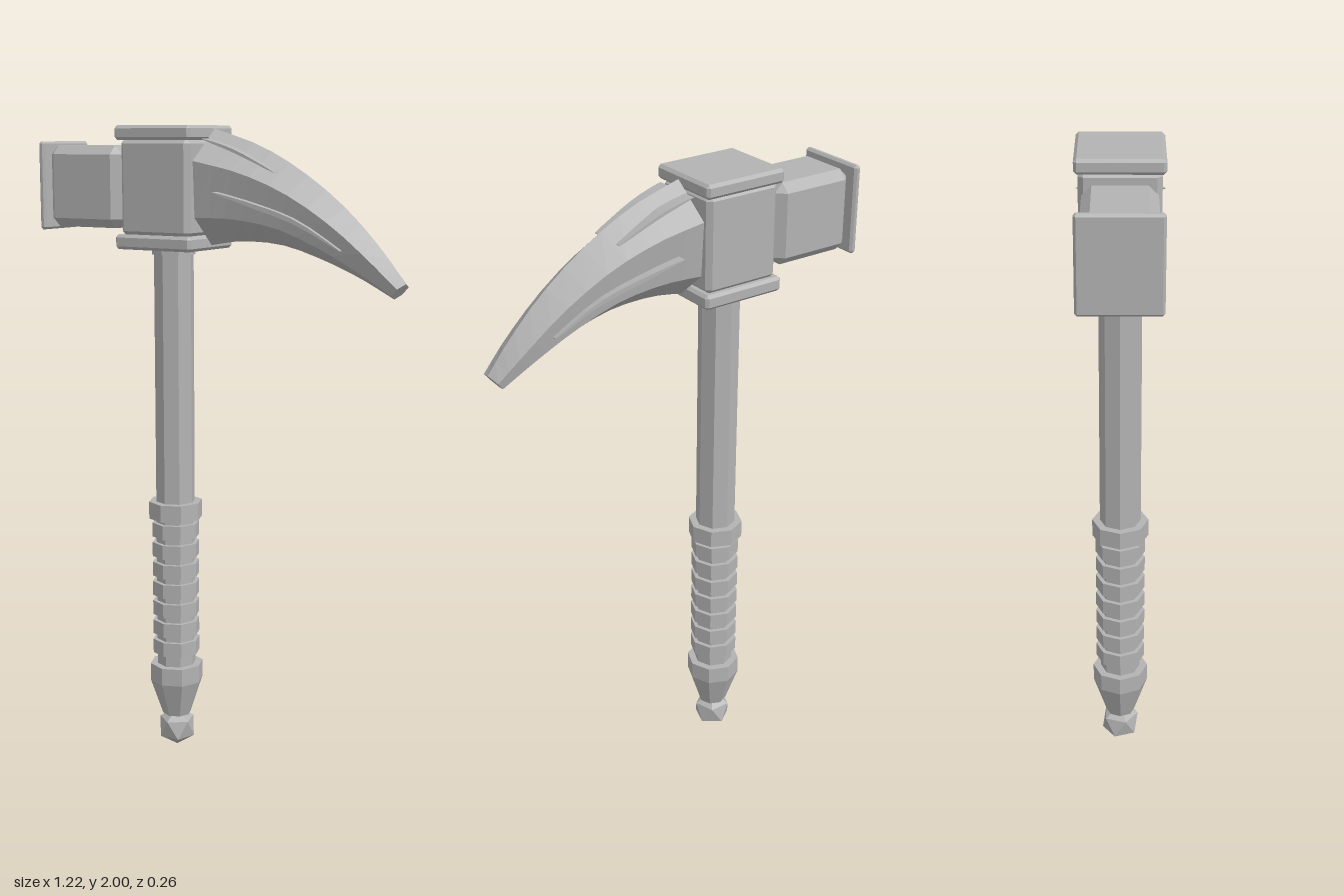
import * as THREE from 'three';
import { ConvexGeometry } from 'three/addons/geometries/ConvexGeometry.js';

const AXIS_X = -0.18; // centre line of the handle

// Faceted normals
function flat(geometry) {
  const g = geometry.index ? geometry.toNonIndexed() : geometry;
  g.computeVertexNormals();
  return g;
}

// Box with all edges and corners cut, given by its min and max corners
function chamferBox(min, max, c) {
  const points = [];
  const size = min.map((v, i) => (max[i] - v) / 2);
  for (const sx of [-1, 1]) for (const sy of [-1, 1]) for (const sz of [-1, 1]) {
    const s = [sx, sy, sz];
    for (let full = 0; full < 3; full++) {
      points.push(new THREE.Vector3(...s.map((sign, i) =>
        (min[i] + max[i]) / 2 + sign * (size[i] - (i === full ? 0 : c)))));
    }
  }
  return flat(new ConvexGeometry(points));
}

// Eight-sided turned part from [radius, y] pairs, bottom to top
function turned(profile) {
  return flat(new THREE.LatheGeometry(profile.map(([r, y]) => new THREE.Vector2(r, y)), 8));
}

// Curved pick: hexagonal sections swept between its upper and lower outlines
function pickGeometry() {
  const curve = (pts) => new THREE.CatmullRomCurve3(pts.map(([x, y]) => new THREE.Vector3(x, y, 0)));
  const top = curve([[-0.03, 1.99], [0.13, 1.94], [0.275, 1.865], [0.42, 1.76], [0.54, 1.64], [0.605, 1.56]]);
  const bottom = curve([[-0.042, 1.645], [0.06, 1.66], [0.2, 1.655], [0.33, 1.62], [0.46, 1.57], [0.57, 1.515]]);
  const steps = 12, positions = [], index = [];
  for (let i = 0; i <= steps; i++) {
    const t = i / steps, a = top.getPoint(t), b = bottom.getPoint(t);
    const upper = THREE.MathUtils.lerp(0.118, 0.04, t);
    const lower = THREE.MathUtils.lerp(0.1, 0.034, t);
    const ring = [[0, 0], [0.27, upper], [0.75, lower], [1, 0], [0.75, -lower], [0.27, -upper]];
    for (const [f, z] of ring) {
      const p = a.clone().lerp(b, f);
      positions.push(p.x, p.y, z);
    }
  }
  for (let i = 0; i < steps; i++) for (let j = 0; j < 6; j++) {
    const a = i * 6 + j, b = i * 6 + (j + 1) % 6;
    index.push(a, b, a + 6, b, b + 6, a + 6);
  }
  const end = steps * 6;
  for (let j = 1; j < 5; j++) {
    index.push(0, j + 1, j);
    index.push(end, end + j, end + j + 1);
  }
  const g = new THREE.BufferGeometry();
  g.setAttribute('position', new THREE.Float32BufferAttribute(positions, 3));
  g.setIndex(index);
  return flat(g);
}

// Slim crescent rib; its outer face follows a line from z0 to z1
function ribGeometry(path, thickness, z0, z1, side) {
  const line = new THREE.SplineCurve(path.map(([x, y]) => new THREE.Vector2(x, y)));
  const pts = line.getPoints(8);
  const upper = pts.map((p, i) => new THREE.Vector2(p.x, p.y + thickness * (0.2 + Math.sin(Math.PI * i / 8)) / 2));
  const lower = pts.map((p, i) => new THREE.Vector2(p.x, p.y - thickness * (0.2 + Math.sin(Math.PI * i / 8)) / 2));
  const g = new THREE.ExtrudeGeometry(new THREE.Shape([...lower, ...upper.reverse()]), { depth: 0.04, bevelEnabled: false });
  const pos = g.attributes.position, x0 = path[0][0], x1 = path[path.length - 1][0];
  for (let i = 0; i < pos.count; i++) {
    const outer = THREE.MathUtils.mapLinear(pos.getX(i), x0, x1, z0, z1);
    const inset = side > 0 ? 0.04 - pos.getZ(i) : pos.getZ(i);
    pos.setZ(i, side * (outer - inset));
  }
  return flat(g);
}

export function createModel() {
  const model = new THREE.Group();
  const steel = new THREE.MeshStandardMaterial({ color: 0xb3b3b3 });
  steel.name = 'grey steel';
  const add = (name, geometry, x = 0, y = 0) => {
    const mesh = new THREE.Mesh(geometry, steel);
    mesh.name = name;
    mesh.position.set(x, y, 0);
    model.add(mesh);
    return mesh;
  };

  // Handle
  add('shaft', turned([[0, 0.2], [0.0625, 0.2], [0.0625, 1.64], [0, 1.64]]), AXIS_X);
  add('headCollar', turned([[0, 1.612], [0.068, 1.612], [0.068, 1.64], [0, 1.64]]), AXIS_X);
  add('gripTop', turned([[0, 0.775], [0.086, 0.775], [0.086, 0.83], [0, 0.83]]), AXIS_X);
  for (let i = 0; i < 7; i++) {
    const y = 0.325 + i * 0.065;
    add('gripRing', turned([[0, y], [0.076, y], [0.076, y + 0.046], [0, y + 0.046]]), AXIS_X);
  }
  add('pommel', turned([[0, 0.112], [0.046, 0.112], [0.086, 0.23], [0.086, 0.287], [0, 0.287]]), AXIS_X);

  // Faceted gem with one corner pointing straight down
  const gem = new THREE.IcosahedronGeometry(0.064, 0);
  gem.rotateZ(Math.atan(2 / (1 + Math.sqrt(5))));
  gem.rotateY(Math.PI / 2);
  add('pommelGem', flat(gem), AXIS_X, 0.064);

  // Head block between two plates
  add('headBlock', chamferBox([-0.302, 1.67, -0.113], [-0.054, 1.962, 0.113], 0.015));
  add('headTopPlate', chamferBox([-0.315, 1.957, -0.124], [-0.042, 2, 0.124], 0.009));
  add('headBottomPlate', chamferBox([-0.315, 1.63, -0.124], [-0.042, 1.675, 0.124], 0.009));

  // Hammer
  add('hammerBlock', chamferBox([-0.588, 1.69, -0.102], [-0.317, 1.94, 0.102], 0.027));
  add('hammerFace', chamferBox([-0.61, 1.68, -0.116], [-0.587, 1.952, 0.116], 0.007));

  // Pick with ribs on its flanks and upper faces
  add('pick', pickGeometry());
  for (const side of [1, -1]) {
    add('flankRib', ribGeometry([[0.04, 1.808], [0.17, 1.77], [0.3, 1.725], [0.43, 1.65]], 0.012, 0.13, 0.072, side));
    add('upperRib', ribGeometry([[-0.025, 1.96], [0.08, 1.925], [0.21, 1.865]], 0.008, 0.08, 0.062, side));
  }
  return model;
}
